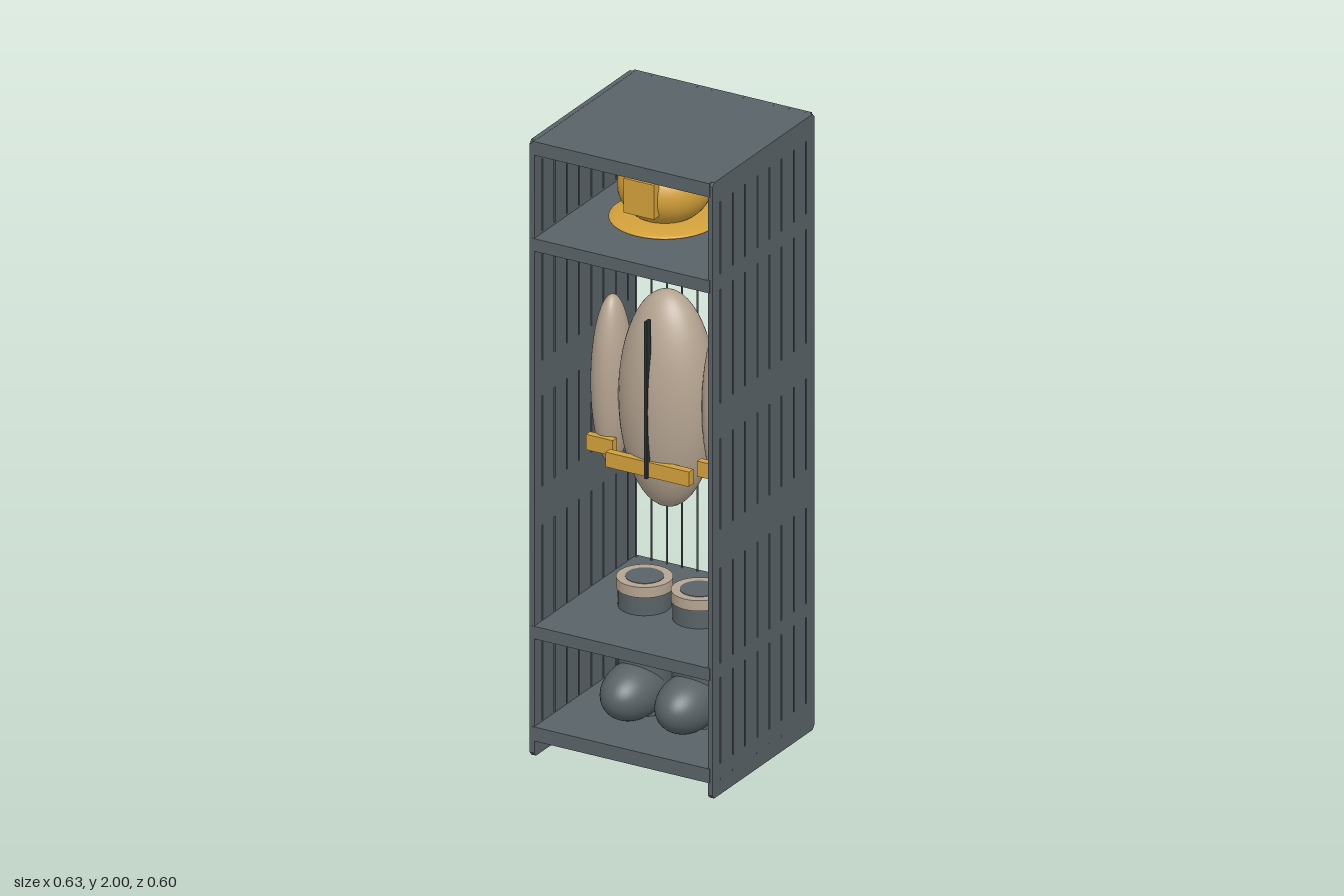
import * as THREE from 'three';

const mat = (name, color) => {
  const m = new THREE.MeshStandardMaterial({ color });
  m.name = name;
  return m;
};

export function createModel() {
  const steel = mat('steel grey', 0x596266);
  const dark = mat('dark trim', 0x2b2f32);
  const gold = mat('helmet gold', 0xd2a03a);
  const tan = mat('coat tan', 0xb5a491);
  const model = new THREE.Group();
  model.name = 'gearLocker';

  const add = (parent, name, geometry, material, x = 0, y = 0, z = 0) => {
    const mesh = new THREE.Mesh(geometry, material);
    mesh.name = name;
    mesh.position.set(x, y, z);
    parent.add(mesh);
    return mesh;
  };
  const box = (w, h, d) => new THREE.BoxGeometry(w, h, d);
  const ball = (rx, ry, rz) => new THREE.SphereGeometry(1, 40, 28).scale(rx, ry, rz);
  const group = (name) => {
    const g = new THREE.Group();
    g.name = name;
    model.add(g);
    return g;
  };

  // Side panels: chamfered sheet with rows of narrow vertical slots
  const locker = group('locker');
  const side = new THREE.Shape();
  [[-0.288, 0], [0.288, 0], [0.298, 0.012], [0.298, 1.99], [0.288, 2], [-0.288, 2], [-0.298, 1.99], [-0.298, 0.012]]
    .forEach(([x, y], i) => (i ? side.lineTo(x, y) : side.moveTo(x, y)));
  side.closePath();
  const rows = [[0.1, 0.38], [0.425, 0.735], [0.86, 1.155], [1.27, 1.64], [1.69, 1.925]];
  const slotZ = Array.from({ length: 8 }, (_, i) => -0.25 + i * 0.0714);
  for (const z of slotZ) {
    for (const [a, b] of rows) {
      const slot = new THREE.Path();
      slot.moveTo(z - 0.003, a);
      slot.lineTo(z - 0.003, b);
      slot.lineTo(z + 0.003, b);
      slot.lineTo(z + 0.003, a);
      slot.closePath();
      side.holes.push(slot);
    }
  }
  const panelGeo = new THREE.ExtrudeGeometry(side, { depth: 0.016, bevelEnabled: false });
  panelGeo.translate(0, 0, -0.008).rotateY(Math.PI / 2);
  for (const s of [-1, 1]) {
    add(locker, 'sidePanel', panelGeo, steel, s * 0.306);
    for (const z of slotZ) {
      // Tan strips set into the slots (the panel's shape runs along -z)
      for (const [a, b] of rows) {
        add(locker, 'slotStrip', box(0.006, b - a, 0.006), tan, s * 0.306, (a + b) / 2, -z);
      }
      // Flush rivets along the foot of each panel
      const rivet = add(locker, 'rivet', new THREE.CylinderGeometry(0.004, 0.004, 0.002, 8), steel, s * 0.3135, 0.05, -z);
      rivet.rotation.z = Math.PI / 2;
    }
  }

  // Top, shelves and floor
  const boards = [['topBoard', 1.955, 1.9995], ['upperShelf', 1.643, 1.684], ['lowerShelf', 0.384, 0.425], ['floorBoard', 0.052, 0.098]];
  for (const [name, a, b] of boards) {
    add(locker, name, box(0.61, b - a, 0.6), steel, 0, (a + b) / 2);
  }

  // Barred back
  for (let i = 0; i < 12; i++) {
    add(locker, 'backBar', new THREE.CylinderGeometry(0.003, 0.003, 2, 8), steel, -0.292 + i * 0.0525, 1, -0.288);
  }

  // Hanging rail
  const rail = add(locker, 'hangingRail', new THREE.CylinderGeometry(0.012, 0.012, 0.598, 16), steel, 0, 1.525, 0);
  rail.rotation.z = Math.PI / 2;

  // Helmet with brim, front badge and rear neck flap
  const helmet = group('helmet');
  add(helmet, 'helmetDome', ball(0.143, 0.118, 0.145), gold, 0, 1.832, 0.04);
  add(helmet, 'helmetBrim', ball(0.168, 0.02, 0.17), gold, 0, 1.726, 0.04);
  add(helmet, 'helmetBadge', box(0.104, 0.112, 0.03), gold, 0, 1.84, 0.18);
  add(helmet, 'neckFlap', box(0.344, 0.118, 0.012), tan, 0, 1.843, -0.268);

  // Coat with sleeves, zip and bands
  const coat = group('coat');
  add(coat, 'coatBody', ball(0.154, 0.35, 0.125), tan, 0, 1.13, 0.025);
  add(coat, 'coatZip', box(0.009, 0.51, 0.024), dark, 0, 1.17, 0.143);
  add(coat, 'coatBand', box(0.286, 0.048, 0.026), gold, 0, 0.942, 0.132);
  for (const s of [-1, 1]) {
    add(coat, 'sleeve', ball(0.06, 0.275, 0.075), tan, s * 0.191, 1.147, 0.025);
    add(coat, 'sleeveBand', box(0.092, 0.05, 0.024), gold, s * 0.191, 0.96, 0.088);
  }

  // Boots passing through the lower shelf, with cuffs and dark openings
  const boots = group('boots');
  for (const s of [-1, 1]) {
    add(boots, 'bootShaft', new THREE.CylinderGeometry(0.08, 0.08, 0.42, 28), steel, s * 0.094, 0.307, 0);
    add(boots, 'bootToe', ball(0.088, 0.088, 0.13), steel, s * 0.094, 0.175, 0.065);
    add(boots, 'bootCuff', new THREE.CylinderGeometry(0.085, 0.085, 0.034, 28), tan, s * 0.094, 0.502, 0);
    add(boots, 'bootOpening', new THREE.CylinderGeometry(0.058, 0.058, 0.004, 28), steel, s * 0.094, 0.5185, 0);
  }

  return model;
}
